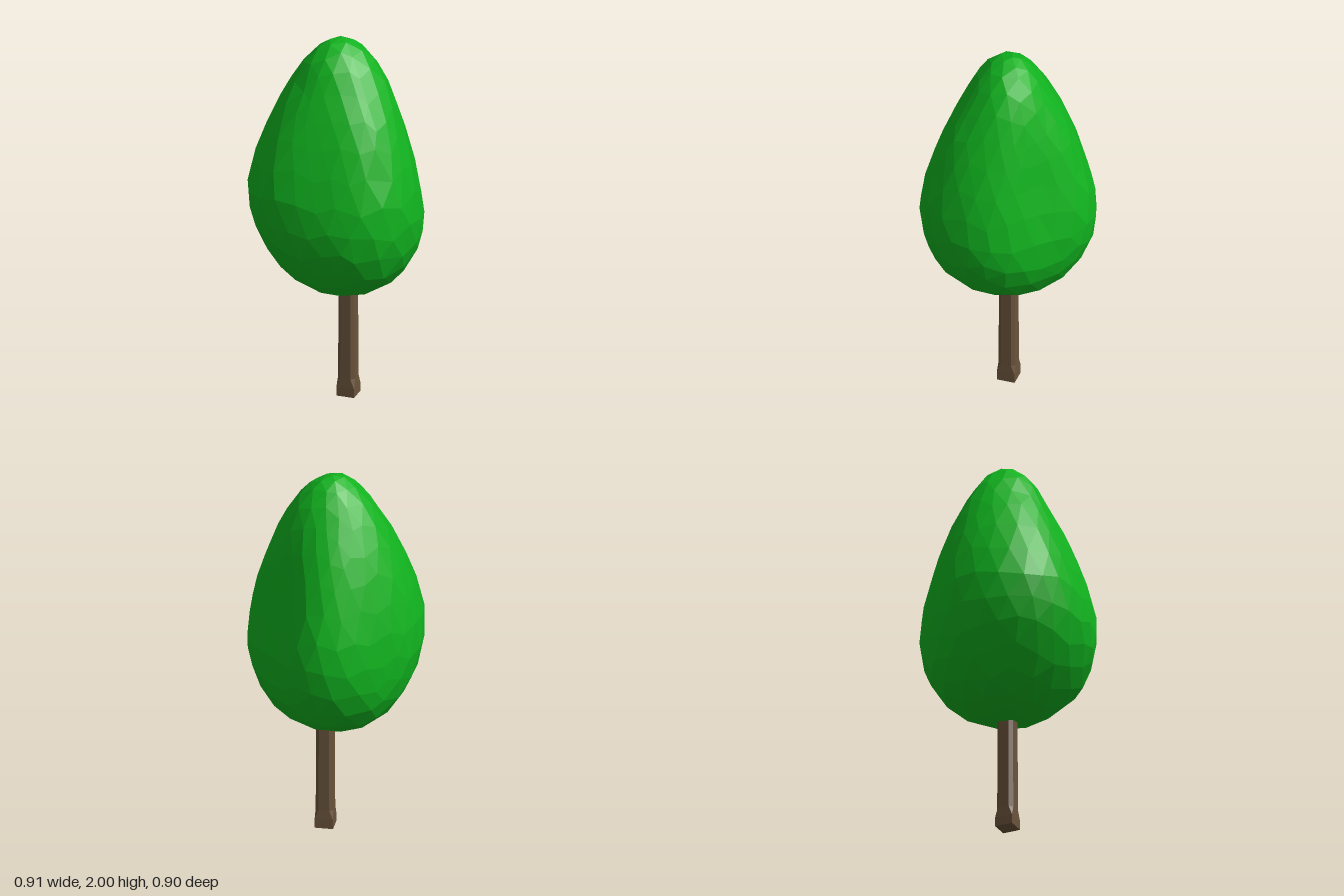
import * as THREE from 'three';

// Crown girth at heights 2.0, 1.8 ... 0.6, in eight compass directions
// (+x, +x+z, +z, -x+z, -x, -x-z, -z, +x-z), relative to a unit sphere.
const GIRTH = [
  [.32, .30, .33, .33, .28, .26, .25, .30],
  [.34, .32, .31, .325, .335, .29, .28, .30],
  [.36, .39, .34, .385, .37, .335, .335, .30],
  [.395, .435, .385, .44, .415, .365, .38, .315],
  [.44, .49, .44, .49, .46, .405, .44, .36],
  [.495, .53, .49, .495, .495, .45, .49, .425],
  [.535, .57, .50, .49, .51, .52, .515, .49],
  [.60, .60, .53, .53, .55, .59, .57, .57],
];

// Smooth periodic interpolation around one row
function around(row, angle) {
  const u = ((angle / (Math.PI / 4)) % 8 + 8) % 8;
  const i = Math.floor(u), f = u - i;
  const p = k => row[(i + k + 8) % 8];
  const [a, b, c, d] = [p(-1), p(0), p(1), p(2)];
  return b + 0.5 * f * (c - a + f * (2 * a - 5 * b + 4 * c - d + f * (3 * (b - c) + d - a)));
}

function girth(y, angle) {
  const k = THREE.MathUtils.clamp((2 - y) / 0.2, 0, 6.999);
  const i = Math.floor(k);
  return THREE.MathUtils.lerp(around(GIRTH[i], angle), around(GIRTH[i + 1], angle), k - i);
}

// Lopsided, faceted egg shaped from a subdivided icosahedron
function crownGeometry() {
  const geo = new THREE.IcosahedronGeometry(1, 4);
  geo.rotateZ(Math.atan(2 / (1 + Math.sqrt(5)))); // a corner at each pole
  const pos = geo.attributes.position;
  const v = new THREE.Vector3();
  for (let i = 0; i < pos.count; i++) {
    v.fromBufferAttribute(pos, i);
    // uneven facets
    const { x, y, z } = v;
    v.x += 0.035 * Math.sin(9 * y + 13 * z);
    v.y += 0.035 * Math.sin(11 * x - 8 * z) * (1 - y * y);
    v.z += 0.035 * Math.sin(12 * x + 10 * y);
    v.normalize();
    const height = 1.2925 + 0.7075 * v.y;
    const r = girth(height, Math.atan2(v.z, v.x));
    pos.setXYZ(i, v.x * r, height, v.z * r);
  }
  geo.computeVertexNormals();
  return geo;
}

// Square post whose corners are chamfered above the foot
function trunkGeometry() {
  const sections = [[0, .048, .0005], [.05, .048, .0005], [.1, .046, .018], [.7, .043, .017]]; // y, half width, chamfer
  const verts = [], index = [];
  for (const [y, h, c] of sections) {
    for (let q = 0; q < 4; q++) {
      const cos = Math.round(Math.cos(q * Math.PI / 2)), sin = Math.round(Math.sin(q * Math.PI / 2));
      for (const [x, z] of [[h, h - c], [h - c, h]]) verts.push(x * cos - z * sin, y, x * sin + z * cos);
    }
  }
  for (let s = 0; s < sections.length - 1; s++) {
    for (let i = 0; i < 8; i++) {
      const a = s * 8 + i, b = s * 8 + (i + 1) % 8;
      index.push(a, a + 8, b, b, a + 8, b + 8);
    }
  }
  // underside and top
  const top = (sections.length - 1) * 8;
  for (let i = 1; i < 7; i++) index.push(0, i, i + 1, top, top + i + 1, top + i);
  const geo = new THREE.BufferGeometry();
  geo.setAttribute('position', new THREE.Float32BufferAttribute(verts, 3));
  geo.setIndex(index);
  const flat = geo.toNonIndexed();
  flat.computeVertexNormals();
  return flat;
}

export function createModel() {
  const group = new THREE.Group();
  group.name = 'tree';

  const crown = new THREE.Mesh(crownGeometry(), new THREE.MeshStandardMaterial({ color: 0x11b31f, flatShading: true }));
  crown.name = 'crown';

  const trunk = new THREE.Mesh(trunkGeometry(), new THREE.MeshStandardMaterial({ color: 0x6a543c, flatShading: true }));
  trunk.name = 'trunk';
  trunk.position.x = 0.043;

  group.add(crown, trunk);
  return group;
}
